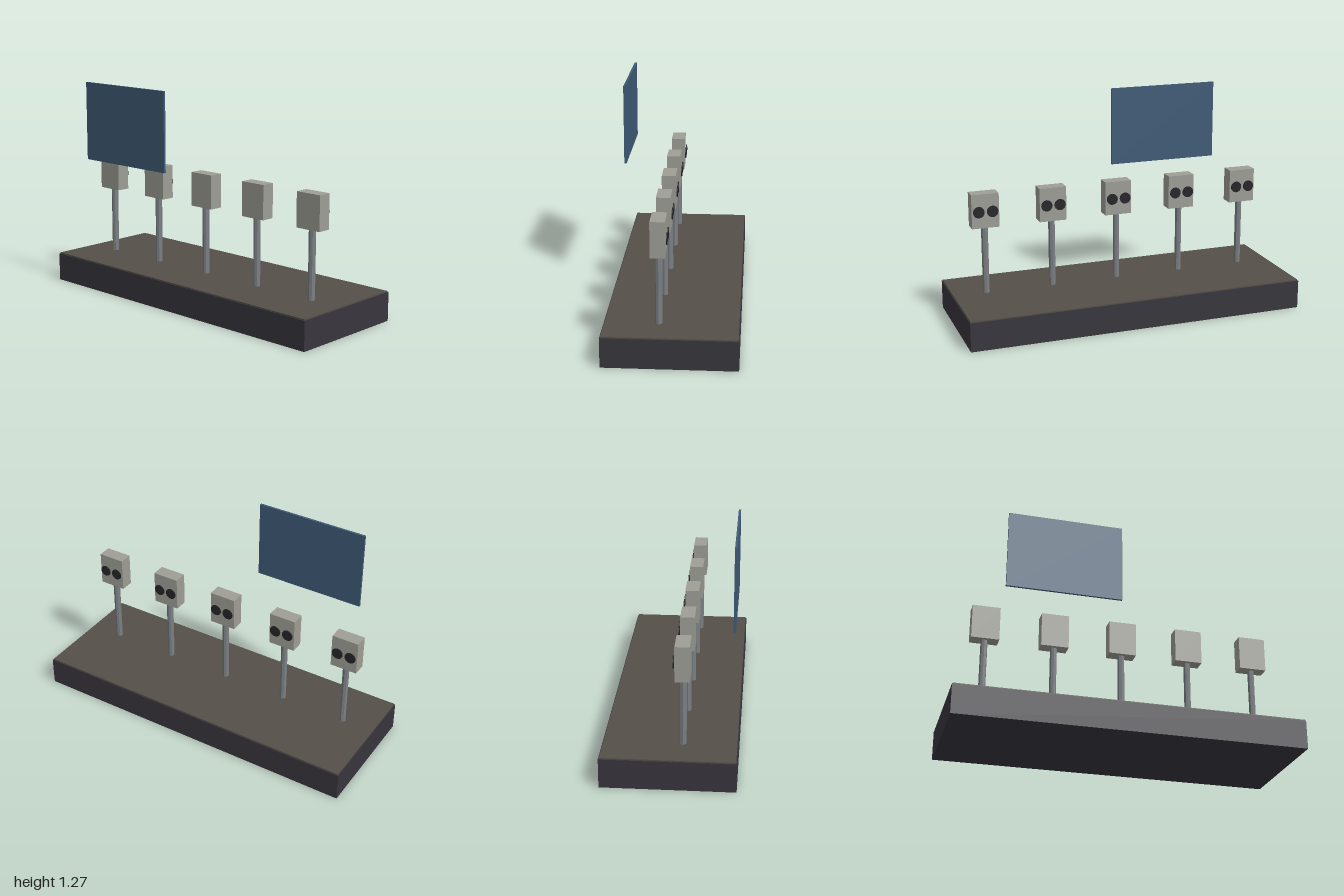
import * as THREE from 'three';

const material = (name, color, extra = {}) => {
  const m = new THREE.MeshStandardMaterial({ color, ...extra });
  m.name = name;
  return m;
};

function add(parent, name, geometry, mat, x, y, z) {
  const mesh = new THREE.Mesh(geometry, mat);
  mesh.name = name;
  mesh.position.set(x, y, z);
  parent.add(mesh);
  return mesh;
}

export function createModel() {
  const model = new THREE.Group();
  model.name = 'viewingPlatform';

  const charcoal = material('charcoal', 0x38363d);
  const deckBrown = material('deckBrown', 0x544f48);
  const steel = material('steel', 0x7b8084, { flatShading: true });
  const paleGrey = material('paleGrey', 0x9e9e96);
  const lensBlack = material('lensBlack', 0x25252a);
  const panelBlue = material('panelBlue', 0x3f5b77);

  // Plinth with a thin, slightly inset deck
  add(model, 'base', new THREE.BoxGeometry(2, 0.168, 0.734), charcoal, 0, 0.084, 0);
  add(model, 'deck', new THREE.BoxGeometry(1.99, 0.007, 0.724), deckBrown, 0, 0.1715, 0);

  // Row of five viewers, lenses facing the back
  const postGeometry = new THREE.CylinderGeometry(0.02, 0.02, 0.4, 8);
  const headGeometry = new THREE.BoxGeometry(0.16, 0.2, 0.08);
  const lensGeometry = new THREE.CylinderGeometry(0.0333, 0.0333, 0.005, 20).rotateX(Math.PI / 2);
  for (let i = -2; i <= 2; i++) {
    const viewer = new THREE.Group();
    viewer.name = 'viewer';
    viewer.position.set(i * 0.4, 0, 0.069);
    add(viewer, 'post', postGeometry, steel, 0, 0.375, 0);
    add(viewer, 'head', headGeometry, paleGrey, 0, 0.675, 0);
    for (const side of [-1, 1]) {
      add(viewer, 'lens', lensGeometry, lensBlack, side * 0.04, 0.672, -0.048);
    }
    model.add(viewer);
  }

  // Floating display panel
  add(model, 'panel', new THREE.BoxGeometry(0.667, 0.467, 0.013), panelBlue, -0.4, 1.034, 0.335);

  return model;
}
